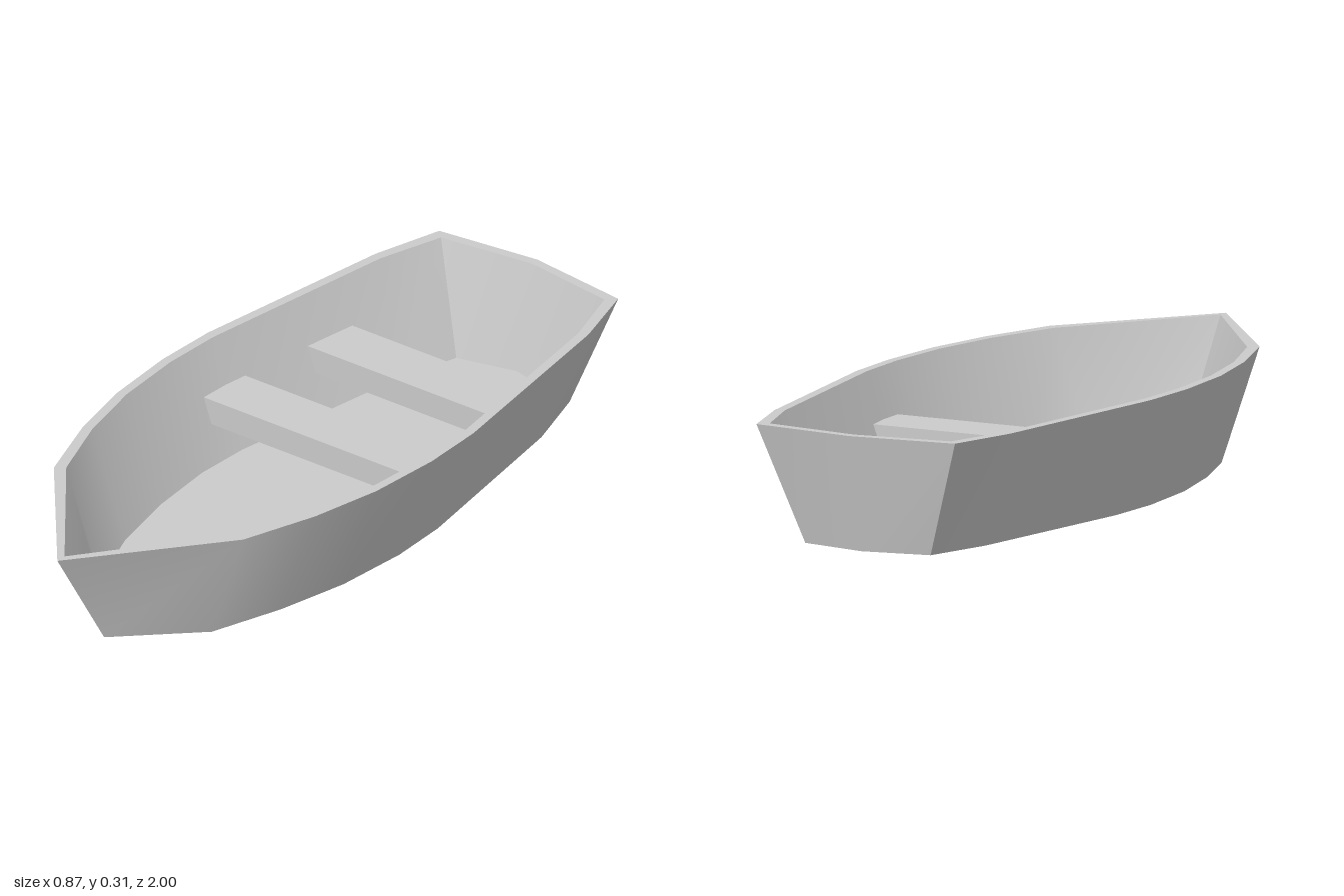
import * as THREE from 'three';
import { toCreasedNormals } from 'three/addons/utils/BufferGeometryUtils.js';

const material = new THREE.MeshStandardMaterial({ color: 0xcccccc });

// Half outlines [x, z] running from bow to stern
const KEEL = [[0, 0.805], [0.2, 0.613], [0.268, 0.41], [0.313, 0.21], [0.331, 0], [0.324, -0.17], [0.24, -0.71], [0.183, -0.9], [0, -0.935]];
const RIM = [[0, 1], [0.307, 0.62], [0.378, 0.41], [0.42, 0.21], [0.436, 0], [0.43, -0.18], [0.345, -0.77], [0.29, -0.965], [0, -1]];
const RIM_INNER = [[0, 0.97], [0.282, 0.6], [0.355, 0.395], [0.396, 0.2], [0.411, 0], [0.405, -0.17], [0.32, -0.76], [0.265, -0.94], [0, -0.975]];
const FLOOR = [[0, 0.78], [0.175, 0.597], [0.247, 0.4], [0.29, 0.2], [0.309, 0], [0.302, -0.16], [0.218, -0.69], [0.165, -0.875], [0, -0.915]];

// Mirror a half outline into a closed ring at height y
function ring(half, y) {
  const right = half.map(([x, z]) => [x, y, z]);
  const left = half.slice(1, -1).reverse().map(([x, z]) => [-x, y, z]);
  return [...right, ...left];
}

// Skin consecutive rings; the first and last rings are closed with flat caps
function skin(rings, crease) {
  const n = rings[0].length;
  const points = rings.flat();
  const index = [];
  for (let i = 0; i < rings.length - 1; i++) {
    for (let j = 0; j < n; j++) {
      const k = (j + 1) % n;
      const a = i * n + j, b = i * n + k, c = a + n, d = b + n;
      index.push(a, b, d, a, d, c);
    }
  }
  const last = (rings.length - 1) * n;
  const centre = r => [0, 1, 2].map(c => r.reduce((s, p) => s + p[c], 0) / n);
  const c0 = points.push(centre(rings[0])) - 1;
  const c1 = points.push(centre(rings[rings.length - 1])) - 1;
  for (let j = 0; j < n; j++) {
    const k = (j + 1) % n;
    index.push(c0, k, j, c1, last + j, last + k);
  }
  const geometry = new THREE.BufferGeometry();
  geometry.setAttribute('position', new THREE.Float32BufferAttribute(points.flat(), 3));
  geometry.setIndex(index);
  return toCreasedNormals(geometry, crease);
}

// Plank whose ends follow the taper and flare of the hull sides
function bench(name, zBack, zFront, wBack, wFront) {
  const top = 0.187, thick = 0.07, flare = 0.024;
  const level = (y, inset) => [
    [wFront - inset, y, zFront], [wBack - inset, y, zBack],
    [inset - wBack, y, zBack], [inset - wFront, y, zFront],
  ];
  const mesh = new THREE.Mesh(skin([level(top - thick, flare), level(top, 0)], 0.3), material);
  mesh.name = name;
  return mesh;
}

export function createModel() {
  const boat = new THREE.Group();
  boat.name = 'rowingBoat';

  // Hull: outer wall, flat rim, inner wall and floor
  const hull = new THREE.Mesh(
    skin([ring(KEEL, 0), ring(RIM, 0.31), ring(RIM_INNER, 0.31), ring(FLOOR, 0.02)], 0.6),
    material,
  );
  hull.name = 'hull';
  boat.add(hull);

  // Two cross benches, ends let into the sides
  boat.add(bench('rearBench', -0.61, -0.455, 0.302, 0.325));
  boat.add(bench('middleBench', -0.235, -0.08, 0.357, 0.37));
  return boat;
}
